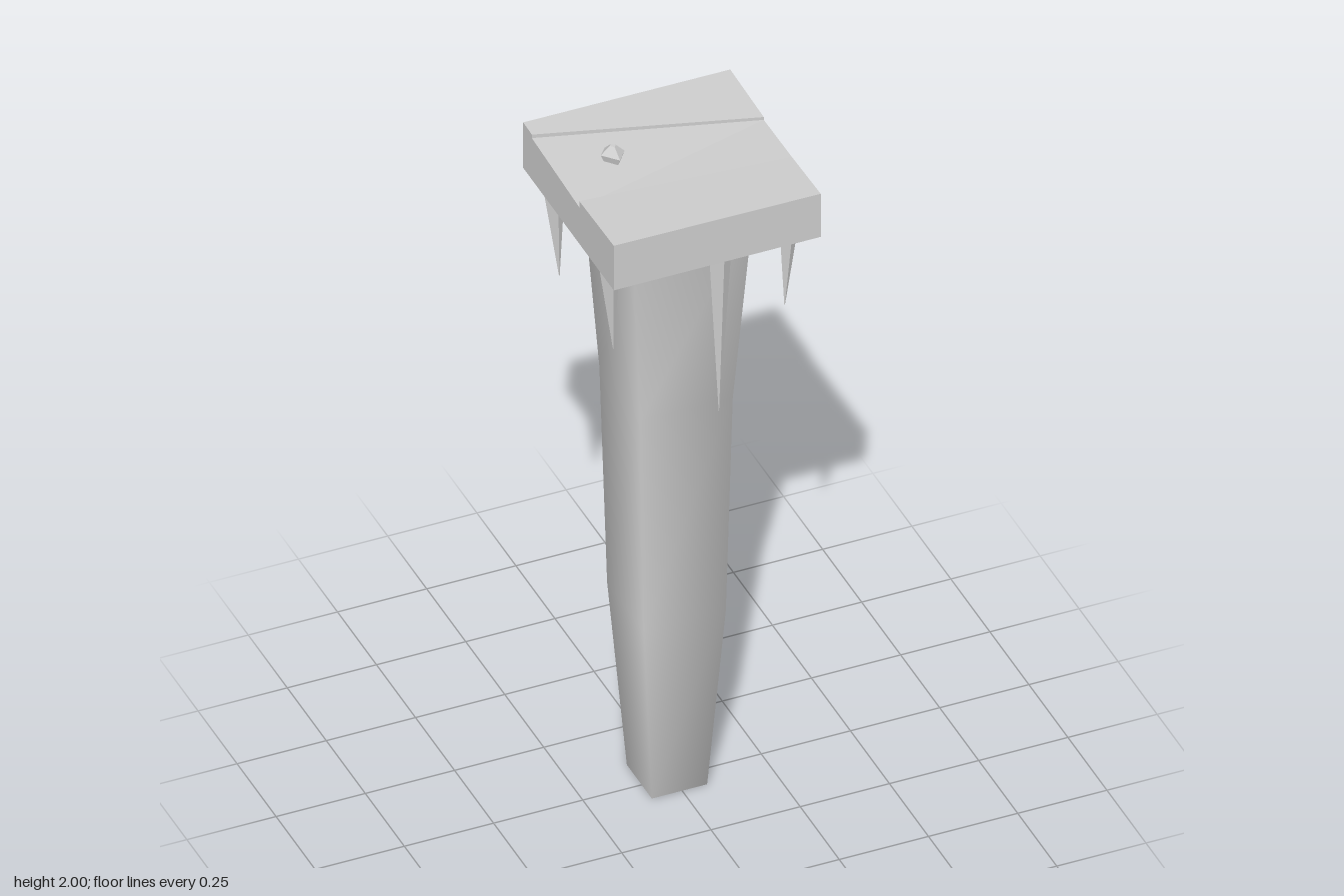
import * as THREE from 'three';

const material = new THREE.MeshStandardMaterial({ color: 0xcccccc });

// Skin a stack of four-cornered rings, bottom to top, and cap both ends.
// Corner order: front left, front right, back right, back left on screen.
function loft(rings, smooth) {
  const index = [];
  for (let r = 0; r < rings.length - 1; r++) {
    for (let i = 0; i < 4; i++) {
      const a = r * 4 + i, b = r * 4 + (i + 1) % 4;
      index.push(a, b, b + 4, a, b + 4, a + 4);
    }
  }
  const t = (rings.length - 1) * 4;
  index.push(0, 2, 1, 0, 3, 2, t, t + 1, t + 2, t, t + 2, t + 3);
  let geometry = new THREE.BufferGeometry();
  geometry.setAttribute('position', new THREE.Float32BufferAttribute(rings.flat(2), 3));
  geometry.setIndex(index);
  if (!smooth) geometry = geometry.toNonIndexed();
  geometry.computeVertexNormals();
  return geometry;
}

function addPart(parent, name, geometry) {
  const mesh = new THREE.Mesh(geometry, material);
  mesh.name = name;
  parent.add(mesh);
  return mesh;
}

export function createModel() {
  const model = new THREE.Group();

  // Tapered square post with softly shaded corners: y, x range, z range
  const sections = [
    [0, -0.085, 0.07, -0.095, 0.065],
    [0.57, -0.125, 0.105, -0.13, 0.105],
    [1.25, -0.14, 0.12, -0.145, 0.115],
    [1.83, -0.175, 0.16, -0.18, 0.15],
    [1.88, -0.178, 0.163, -0.183, 0.153],
  ];
  addPart(model, 'post', loft(sections.map(([y, x0, x1, z0, z1]) =>
    [[x0, y, z1], [x1, y, z1], [x1, y, z0], [x0, y, z0]]), true));

  // Cap of three uneven slabs; corners are [x, z, top height]
  const cap = new THREE.Group();
  cap.name = 'cap';
  model.add(cap);
  const H = 0.29, base = 1.83;
  const slabs = {
    frontSlab: [[-H, H, 1.972], [H, H, 1.967], [H, 0.105, 1.96], [-H, 0.07, 1.966]],
    middleSlab: [[-H, 0.07, 1.946], [H, 0.105, 1.96], [H, -0.075, 1.957], [-H, -0.235, 1.962]],
    backSlab: [[-H, -0.235, 1.973], [H, -0.075, 1.966], [H, -H, 1.973], [-H, -H, 1.975]],
  };
  for (const [name, corners] of Object.entries(slabs)) {
    addPart(cap, name, loft([
      corners.map(([x, z]) => [x, base, z]),
      corners.map(([x, z, y]) => [x, y, z]),
    ], false));
  }

  // Small faceted stone lying on the cap
  const outline = [[-0.165, -0.08], [-0.128, -0.04], [-0.1, -0.075], [-0.142, -0.107]];
  const stoneRing = (y, s) => outline.map(([x, z]) =>
    [-0.133 + (x + 0.133) * s, y, -0.075 + (z + 0.075) * s]);
  addPart(model, 'stone', loft([stoneRing(1.95, 0.7), stoneRing(1.974, 1), stoneRing(2, 0.25)], false));

  // Hanging spikes: base centre x, z, then tip x, z, y
  const spikes = new THREE.Group();
  spikes.name = 'spikes';
  model.add(spikes);
  const spike = (x, z, tipX, tipZ, tipY) => {
    const top = base + 0.01;
    const ring = (y, cx, cz, r) => [[cx - r, y, cz], [cx, y, cz + r * 0.85], [cx + r, y, cz], [cx, y, cz - r * 0.85]];
    addPart(spikes, 'spike', loft([ring(tipY, tipX, tipZ, 0.001), ring(top, x, z, 0.031)], false));
  };
  for (const sx of [-1, 1]) {
    for (const sz of [-1, 1]) spike(sx * 0.253, sz * 0.177, sx * 0.24, sz * 0.173, 1.55);
  }
  spike(0.02, 0.264, 0.018, 0.26, 1.335);
  spike(-0.02, -0.258, -0.018, -0.25, 1.33);

  return model;
}
